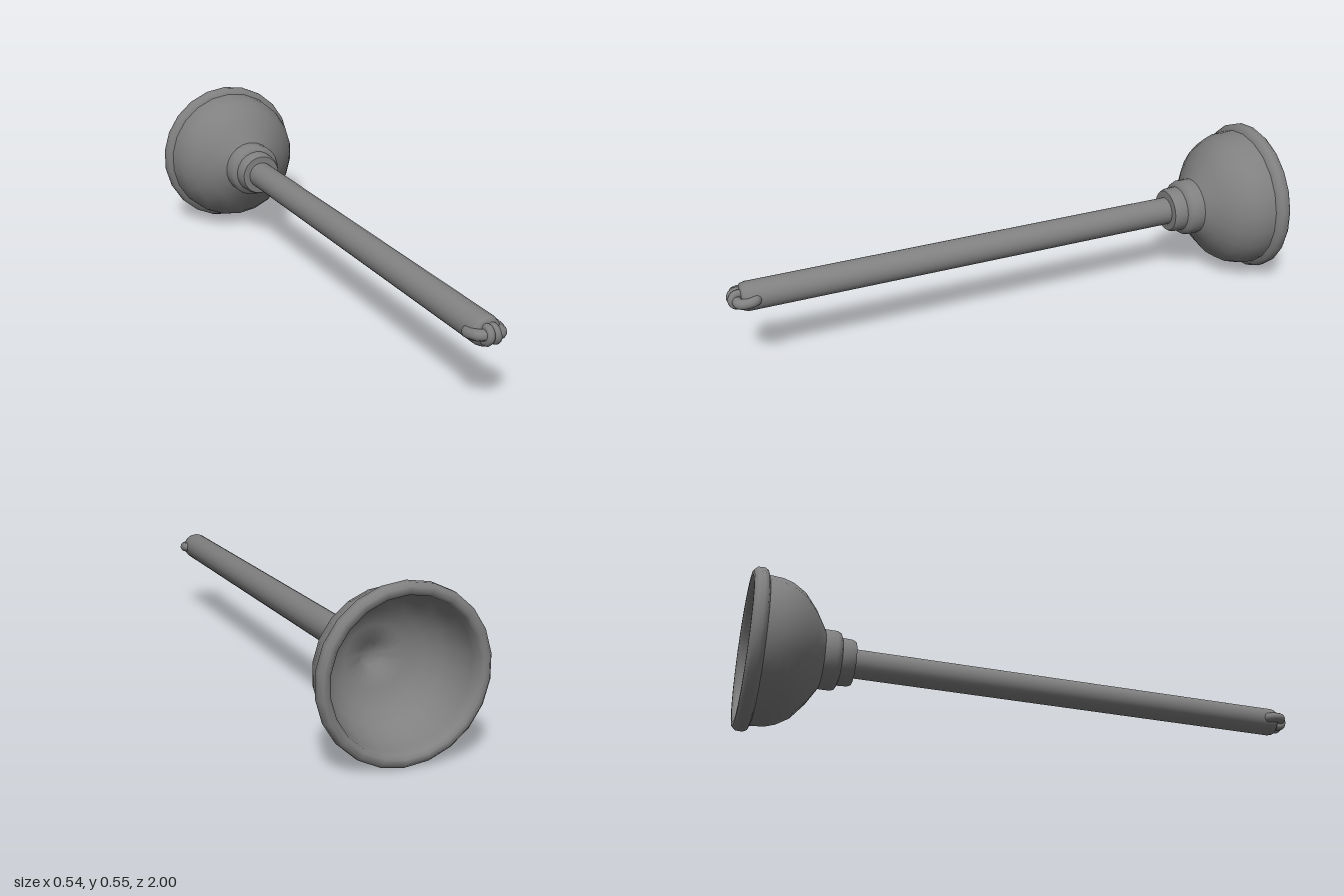
import * as THREE from 'three';
import { toCreasedNormals } from 'three/addons/utils/BufferGeometryUtils.js';

const AXIS_Y = 0.275;

export function createModel() {
  const model = new THREE.Group();
  const material = new THREE.MeshStandardMaterial({ color: 0x808080 });

  function add(name, geometry) {
    const mesh = new THREE.Mesh(geometry, material);
    mesh.name = name;
    mesh.position.y = AXIS_Y;
    model.add(mesh);
    return mesh;
  }

  // Revolves [radius, z] pairs around the z axis
  function turned(profile, sides) {
    const points = profile.map(([r, z]) => new THREE.Vector2(r, z));
    const geometry = new THREE.LatheGeometry(points, sides).rotateX(Math.PI / 2);
    return toCreasedNormals(geometry, 1);
  }

  // Hollow rubber cup: inside with a shallow dent, rim, outside, then the stepped collar
  add('cup', turned([
    [0, -0.755], [0.034, -0.757], [0.05, -0.773], [0.1, -0.785],
    [0.15, -0.81], [0.192, -0.85], [0.218, -0.9], [0.229, -0.955], [0.236, -0.99],
    [0.246, -1], [0.262, -1], [0.273, -0.988], [0.274, -0.966], [0.267, -0.953],
    [0.252, -0.947], [0.249, -0.9], [0.238, -0.865], [0.212, -0.822], [0.16, -0.778], [0.102, -0.742],
    [0.102, -0.7], [0.096, -0.687], [0.082, -0.681],
    [0.08, -0.645], [0.074, -0.633], [0.045, -0.631],
  ], 22));

  // Long round handle with a bevelled tip
  add('handle', turned([
    [0, -0.72], [0.05, -0.72], [0.05, 0.935], [0.046, 0.95], [0.034, 0.957], [0, 0.957],
  ], 20));

  // Cord passing through the handle and around its tip
  const path = [
    [0, 0.91], [0.03, 0.908], [0.045, 0.915], [0.046, 0.945], [0.037, 0.966], [0, 0.972],
    [-0.037, 0.966], [-0.046, 0.945], [-0.045, 0.915], [-0.03, 0.908],
  ].map(([x, z], i) => new THREE.Vector3(x, 0.004 * Math.sin(i * 1.3), z));
  add('cord', new THREE.TubeGeometry(new THREE.CatmullRomCurve3(path, true), 60, 0.018, 10, true));

  // Two turns of cord that form the knot at the tip
  for (const side of [-1, 1]) {
    const loop = new THREE.TorusGeometry(0.021, 0.014, 8, 20)
      .rotateY(Math.PI / 2)
      .rotateZ(side * 0.12);
    const turn = add('knotLoop', loop);
    turn.position.x = side * 0.012;
    turn.position.z = 0.965;
  }

  return model;
}
